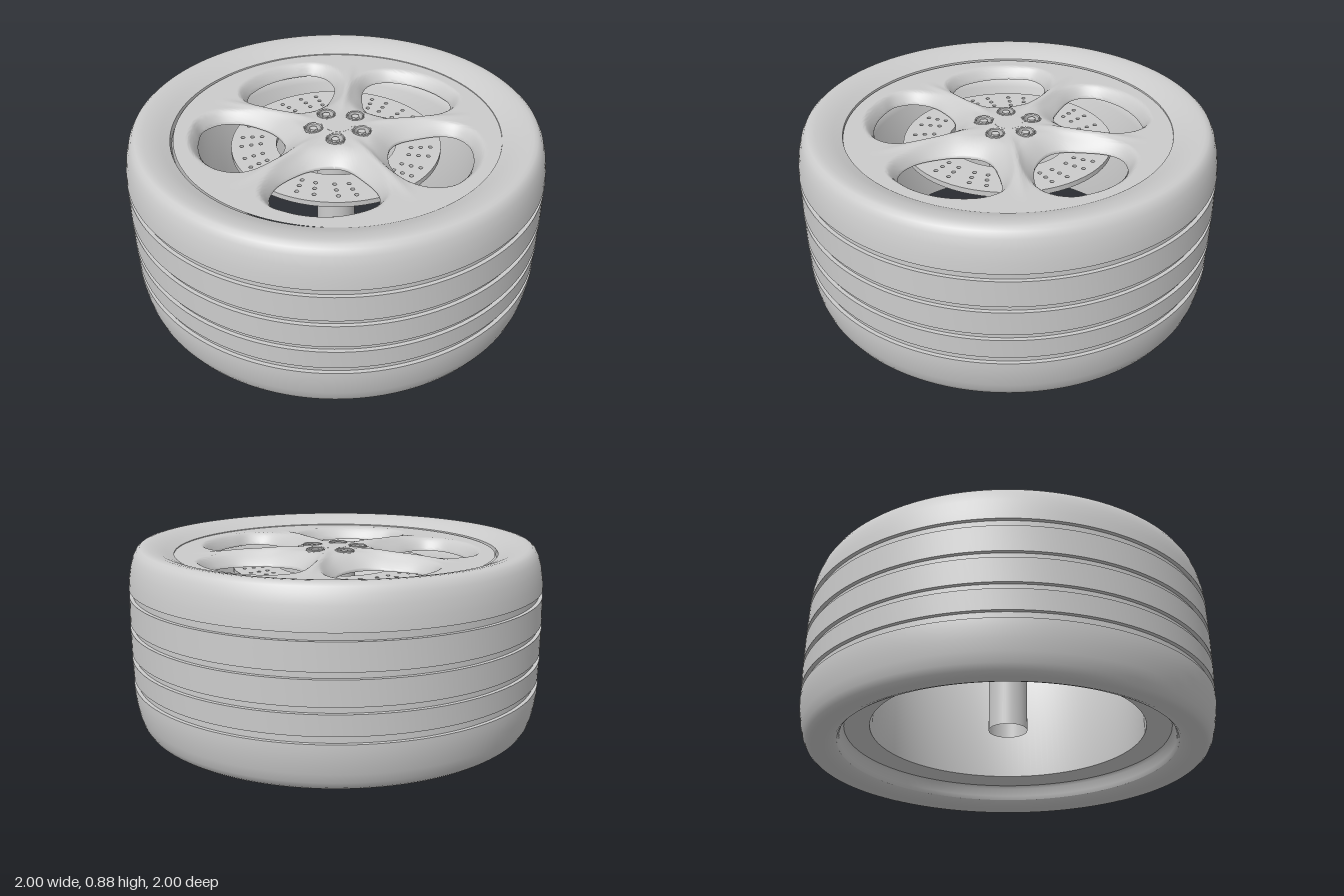
import * as THREE from 'three';
import { mergeVertices, toCreasedNormals } from 'three/addons/utils/BufferGeometryUtils.js';

const grey = new THREE.MeshStandardMaterial({ color: 0xcccccc });
const greyDouble = new THREE.MeshStandardMaterial({ color: 0xcccccc, side: THREE.DoubleSide });
const RAD = Math.PI / 180;
const SPOKES = 5;
const FIRST = 32 * RAD; // direction of the first window, measured from +x towards -z
const SECTOR = (2 * Math.PI) / SPOKES;
const HUB_R = 0.065, FACE_R = 0.777, NUT_R = 0.12;
const FACE_SHIFT = 0.012; // the face sits slightly off the tyre's axis
const UNDERSIDE_Y = 0.768;
const smooth = THREE.MathUtils.smoothstep;

function addMesh(parent, name, geometry, material = grey) {
  const mesh = new THREE.Mesh(geometry, material);
  mesh.name = name;
  parent.add(mesh);
  return mesh;
}

function lathe(points, segments = 128, crease = 0.65) {
  const profile = points.map(([r, y]) => new THREE.Vector2(r, y));
  return toCreasedNormals(new THREE.LatheGeometry(profile, segments), crease);
}

// Tyre section: rounded shoulders, four square tread grooves, open bead
function tyreGeometry() {
  const points = [[0.812, 0.04], [0.825, 0.025], [0.86, 0.01], [0.9, 0.002], [0.92, 0], [0.937, 0.003],
    [0.952, 0.015], [0.967, 0.042], [0.98, 0.085], [0.99, 0.14], [0.996, 0.19]];
  for (const [low, high] of [[0.222, 0.256], [0.351, 0.381], [0.496, 0.526], [0.65, 0.685]]) {
    const r = 1 - 0.02 * Math.abs((low + high) / 2 - 0.44);
    points.push([r, low], [r - 0.018, low], [r - 0.018, high], [r, high]);
  }
  points.push([0.991, 0.735], [0.981, 0.79], [0.968, 0.833], [0.953, 0.86], [0.937, 0.873], [0.92, 0.876],
    [0.9, 0.875], [0.86, 0.867], [0.82, 0.852], [0.779, 0.833], [0.774, 0.8],
    [0.77, 0.7], [0.77, 0.2], [0.82, 0.14], [0.812, 0.04]);
  return lathe(points, 160);
}

// Rounded, slightly lopsided window outline as (radius, angle offset in degrees)
const windowCurve = new THREE.CatmullRomCurve3([
  [0.665, -9.6], [0.665, -2.5], [0.65, 9], [0.612, 19.7], [0.547, 25.8], [0.465, 27],
  [0.317, 19.7], [0.262, 1.6], [0.34, -21.5], [0.47, -27], [0.58, -24.5], [0.655, -17],
].map(([r, a]) => new THREE.Vector3(r, a * RAD, 0)), true);

// Height of the wheel face: raised hub, ridge along each spoke, dips for the nuts
function faceHeight(r, a) {
  const ridge = Math.exp(-((((SECTOR / 2 - Math.abs(a)) * r) / 0.025) ** 2))
    * smooth(r, 0.1, 0.25) * (1 - smooth(r, 0.4, 0.68));
  const nutDistance = Math.hypot(r * Math.cos(a) - NUT_R, r * Math.sin(a));
  return 0.829 + 0.021 * Math.exp(-((r / 0.25) ** 2)) + 0.014 * ridge
    - 0.03 * (1 - smooth(nutDistance, 0.033, 0.046));
}

// Each fifth of the face is lofted from its window outline to the sector border
function wheelFaceGeometry() {
  const half = SECTOR / 2, n = 32, border = [];
  for (let i = 0; i < n; i++) border.push([FACE_R, -half + (SECTOR * i) / n]);
  for (let i = 0; i < n; i++) border.push([FACE_R + ((HUB_R - FACE_R) * i) / n, half]);
  for (let i = 0; i < n; i++) border.push([HUB_R, half - (SECTOR * i) / n]);
  for (let i = 0; i < n; i++) border.push([HUB_R + ((FACE_R - HUB_R) * i) / n, -half]);

  const direction = (r, a) => Math.atan2(a * 0.45, r - 0.47);
  const samples = windowCurve.getSpacedPoints(1200);
  const inner = border.map(([r, a]) => {
    const target = direction(r, a);
    let best = samples[0], bestError = 10;
    for (const p of samples) {
      const d = direction(p.x, p.y) - target;
      const error = Math.abs(Math.atan2(Math.sin(d), Math.cos(d)));
      if (error < bestError) { bestError = error; best = p; }
    }
    return [best.x, best.y];
  });

  // Rings run under the spokes, up the window edge, then over the face
  const rings = [[1, true], [0.5, true], [0, true]];
  const steps = 22;
  for (let j = 0; j <= steps; j++) rings.push([(j / steps) ** 1.3, false]);
  const positions = [], index = [], count = border.length;
  for (let s = 0; s < SPOKES; s++) {
    const base = positions.length / 3;
    for (const [t, under] of rings) {
      border.forEach(([br, ba], i) => {
        const [wr, wa] = inner[i];
        const r = wr + (br - wr) * t, a = wa + (ba - wa) * t;
        const distance = Math.hypot(r * Math.cos(a) - wr * Math.cos(wa), r * Math.sin(a) - wr * Math.sin(wa));
        // The sloping lip is wider towards the hub
        const lipWidth = 0.1 - 0.05 * smooth(wr, 0.28, 0.5);
        const lip = 0.056 * Math.max(0, 1 - distance / lipWidth) ** 1.6;
        const y = under ? UNDERSIDE_Y : faceHeight(r, a) - lip;
        const angle = FIRST + s * SECTOR + a;
        positions.push(r * Math.cos(angle), y, -r * Math.sin(angle));
      });
    }
    for (let j = 0; j < rings.length - 1; j++) {
      for (let i = 0; i < count; i++) {
        const k = (i + 1) % count;
        const a = base + j * count + i, b = a + count;
        const d = base + j * count + k, c = d + count;
        index.push(a, b, c, a, c, d);
      }
    }
  }
  const geometry = new THREE.BufferGeometry();
  geometry.setAttribute('position', new THREE.Float32BufferAttribute(positions, 3));
  geometry.setIndex(index);
  return toCreasedNormals(mergeVertices(geometry, 1e-4), 0.9);
}

// Drilled ring in swept rows of three
function brakeDiscGeometry() {
  const shape = new THREE.Shape().absarc(0, 0, 0.5, 0, Math.PI * 2);
  shape.holes.push(new THREE.Path().absarc(0, 0, 0.285, 0, Math.PI * 2, true));
  const columns = 30;
  for (let i = 0; i < columns; i++) {
    [0.36, 0.405, 0.45].forEach((r, row) => {
      const a = (i / columns) * Math.PI * 2 + row * 0.02 + (i % 2) * 0.03;
      const hole = new THREE.Path();
      hole.absarc(r * Math.cos(a), r * Math.sin(a), 0.0095, 0, Math.PI * 2, true);
      shape.holes.push(hole);
    });
  }
  const geometry = new THREE.ExtrudeGeometry(shape, { depth: 0.025, bevelEnabled: false, curveSegments: 32 });
  return geometry.rotateX(-Math.PI / 2).translate(0, 0.732, 0);
}

export function createModel() {
  const wheel = new THREE.Group();
  wheel.name = 'wheel';

  addMesh(wheel, 'tyre', tyreGeometry());

  // Inside of the rim: barrel with a flat step and an upright flange at the open end
  addMesh(wheel, 'rimBarrel', lathe([[0.773, 0.81], [0.755, 0.79], [0.7, 0.765], [0.668, 0.72],
    [0.665, 0.13], [0.785, 0.115], [0.798, 0.1], [0.803, 0.06], [0.812, 0.04]]), greyDouble);

  addMesh(wheel, 'brakeDisc', brakeDiscGeometry());

  // Hollow axle, open at its lower end
  addMesh(wheel, 'axle', new THREE.CylinderGeometry(0.094, 0.094, 0.63, 48, 1, true), greyDouble).position.y = 0.455;

  const face = new THREE.Group();
  face.name = 'wheelFaceAssembly';
  face.position.x = FACE_SHIFT;
  wheel.add(face);
  addMesh(face, 'wheelFace', wheelFaceGeometry());
  addMesh(face, 'centreCap', new THREE.CylinderGeometry(0.066, 0.066, 0.084, 40)).position.y = 0.807;

  // Wheel nuts, each sunk in its own collar
  const collar = lathe([[0.034, 0.8], [0.042, 0.8], [0.043, 0.846], [0.04, 0.85], [0.036, 0.846], [0.034, 0.8]], 28);
  const nut = toCreasedNormals(new THREE.CylinderGeometry(0.02, 0.025, 0.045, 6), 0.3);
  for (let i = 0; i < SPOKES; i++) {
    const a = FIRST + i * SECTOR;
    const group = new THREE.Group();
    group.name = 'wheelNut';
    group.position.set(NUT_R * Math.cos(a), 0, -NUT_R * Math.sin(a));
    addMesh(group, 'nutCollar', collar);
    addMesh(group, 'nutHead', nut).position.y = 0.822;
    face.add(group);
  }
  return wheel;
}
